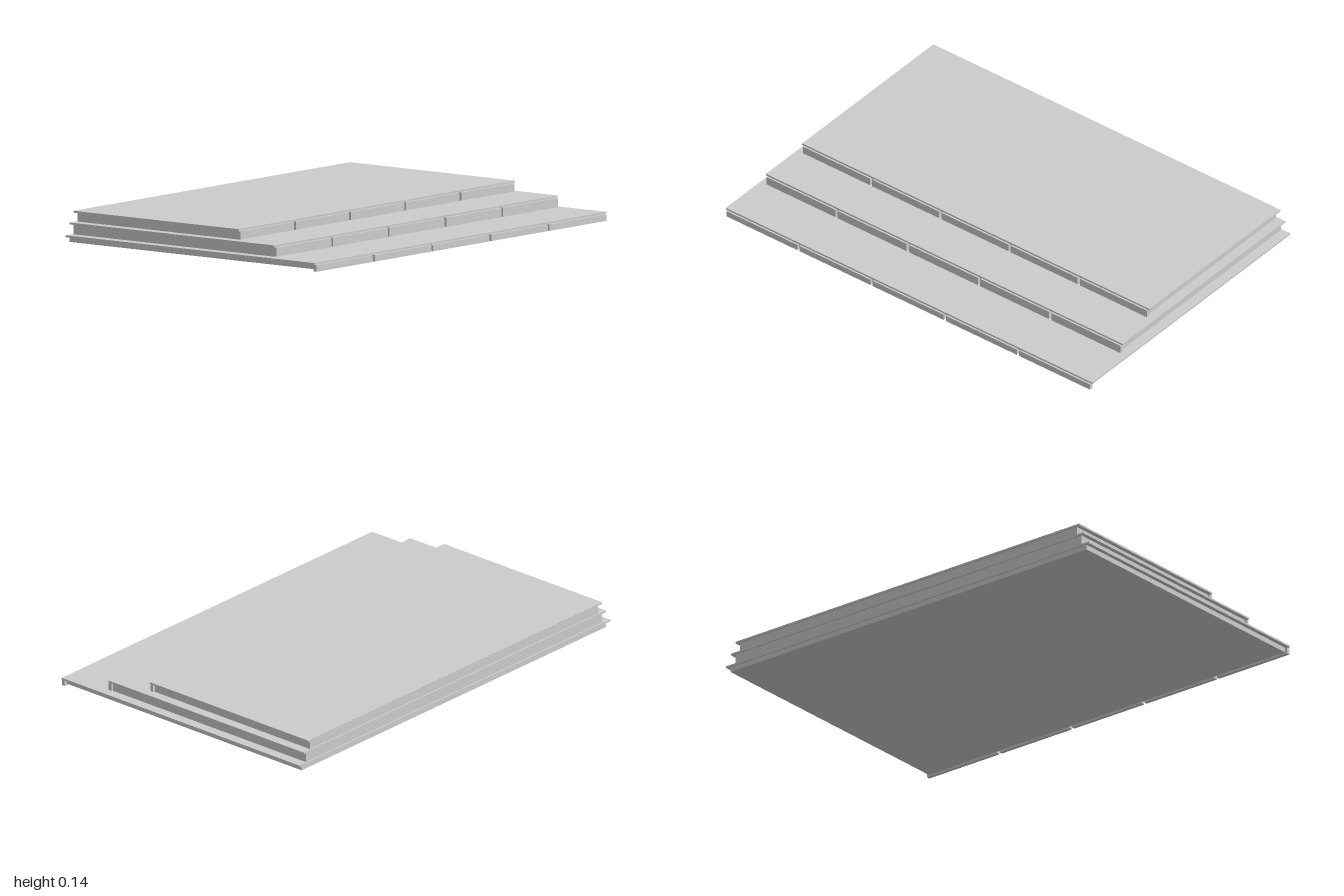
import * as THREE from 'three';

const material = new THREE.MeshStandardMaterial({ color: 0xcccccc, flatShading: true });
const BACK = -0.681;

// Box given by its minimum and maximum on each axis
function box(parent, name, x0, x1, y0, y1, z0, z1) {
  const mesh = new THREE.Mesh(new THREE.BoxGeometry(x1 - x0, y1 - y0, z1 - z0), material);
  mesh.position.set((x0 + x1) / 2, (y0 + y1) / 2, (z0 + z1) / 2);
  mesh.name = name;
  parent.add(mesh);
}

function createTier({ name, half, front, bottom, top, panelBottom }) {
  const tier = new THREE.Group();
  tier.name = name;
  const under = top - 0.008;
  const bodyHalf = half - 0.019;
  const trim = half - 0.026;

  // Recessed core and the deck that overhangs it
  box(tier, 'core', -bodyHalf, bodyHalf, bottom, under, BACK + 0.007, front - 0.009);
  box(tier, 'deck', -trim, trim, under, top, BACK, front);
  // Edge trims along both sides of the deck
  for (const s of [-1, 1]) {
    const a = s * trim, b = s * half;
    box(tier, s > 0 ? 'leftTrim' : 'rightTrim', Math.min(a, b), Math.max(a, b), under, top, BACK, front);
  }

  // Row of five riser panels with narrow gaps
  const panels = 5, gap = 0.012, rowHalf = half - 0.008;
  const pitch = (2 * rowHalf + gap) / panels;
  for (let i = 0; i < panels; i++) {
    const x = -rowHalf + i * pitch;
    box(tier, 'riserPanel', x, x + pitch - gap, panelBottom, under - 0.002, front - 0.01, front + 0.006);
  }
  return tier;
}

export function createModel() {
  const model = new THREE.Group();
  model.name = 'steppedPlatform';
  model.add(
    createTier({ name: 'lowerTier', half: 1, front: 0.678, bottom: 0.008, top: 0.038, panelBottom: 0 }),
    createTier({ name: 'middleTier', half: 0.973, front: 0.436, bottom: 0.038, top: 0.09, panelBottom: 0.041 }),
    createTier({ name: 'upperTier', half: 0.947, front: 0.22, bottom: 0.09, top: 0.138, panelBottom: 0.093 })
  );
  return model;
}
